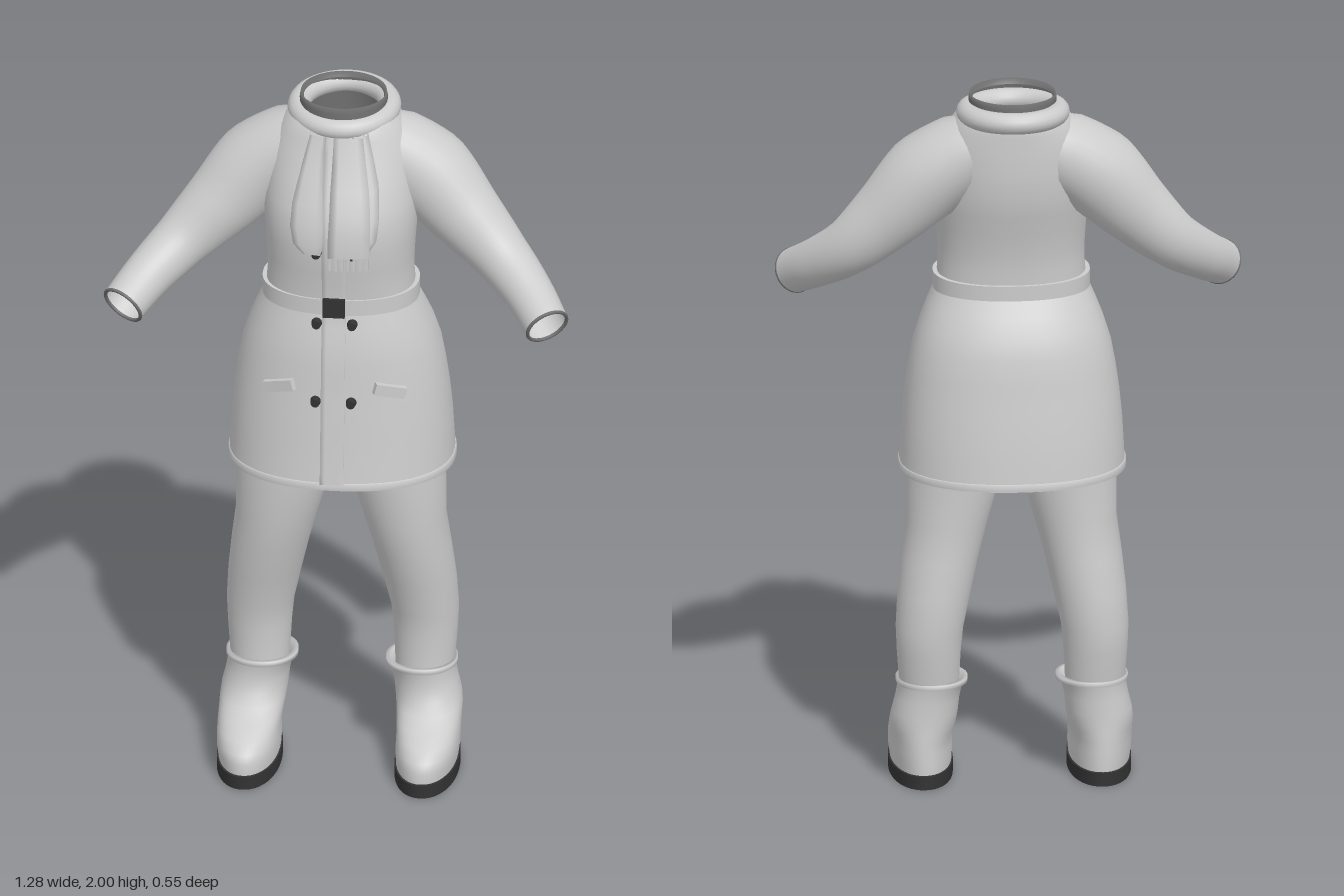
import * as THREE from 'three';

const mat = (name, color) => new THREE.MeshStandardMaterial({ name, color, side: THREE.DoubleSide });

// Half width, front z and back z of the coat at heights from hem to neck
const SKIRT = [
  [0.91, 0.31, 0.23, -0.27], [0.98, 0.307, 0.222, -0.263], [1.05, 0.303, 0.215, -0.255], [1.13, 0.295, 0.208, -0.243],
  [1.2, 0.285, 0.2, -0.232], [1.27, 0.272, 0.196, -0.223], [1.33, 0.253, 0.188, -0.203], [1.38, 0.233, 0.177, -0.175],
  [1.43, 0.211, 0.166, -0.145]];
const BODICE = [
  [1.43, 0.207, 0.165, -0.138], [1.5, 0.201, 0.17, -0.14], [1.55, 0.202, 0.178, -0.146], [1.61, 0.206, 0.185, -0.157],
  [1.67, 0.211, 0.186, -0.173], [1.73, 0.212, 0.172, -0.186], [1.8, 0.206, 0.14, -0.19], [1.86, 0.196, 0.112, -0.188],
  [1.91, 0.174, 0.095, -0.187], [1.945, 0.148, 0.085, -0.185], [1.96, 0.125, 0.06, -0.175]];
const COAT = [...SKIRT, ...BODICE.slice(1)];
const POWER = 2.25;

function coatAt(y) {
  let i = 0;
  while (i < COAT.length - 2 && COAT[i + 1][0] < y) i++;
  const a = COAT[i], b = COAT[i + 1], t = (y - a[0]) / (b[0] - a[0]);
  return a.map((v, k) => v + (b[k] - v) * t);
}

// Depth of the coat's front surface
function frontZ(x, y) {
  const [, w, zf, zb] = coatAt(y);
  const k = Math.pow(Math.max(0, 1 - Math.pow(Math.abs(x) / w, POWER)), 1 / POWER);
  return (zf + zb) / 2 + k * (zf - zb) / 2;
}

// Closed rounded rings [y, centreX, halfWidth, frontZ, backZ] joined from bottom to top
function loft(rings, power = 2, n = 48) {
  const pos = [], idx = [];
  const round = v => Math.sign(v) * Math.pow(Math.abs(v), 2 / power);
  rings.forEach(([y, cx, w, zf, zb], j) => {
    for (let i = 0; i < n; i++) {
      const a = i / n * Math.PI * 2;
      pos.push(cx + w * round(Math.cos(a)), y, (zf + zb) / 2 + (zf - zb) / 2 * round(Math.sin(a)));
      if (j === rings.length - 1) continue;
      const p = j * n + i, q = j * n + (i + 1) % n;
      idx.push(p, p + n, q, q, p + n, q + n);
    }
  });
  return build(pos, idx);
}

// Raised cloth strip lying on the coat front; rows are [y, xStart, xEnd], rising
function strip(rows, offset) {
  const pos = [], idx = [], cols = 8;
  rows.forEach(([y, x0, x1], j) => {
    for (let i = 0; i < cols; i++) {
      const x = x0 + (x1 - x0) * THREE.MathUtils.clamp((i - 1) / (cols - 3), 0, 1);
      const edge = i === 0 || i === cols - 1;
      pos.push(x, y, frontZ(x, y) + (edge ? -0.004 : offset));
      if (j === rows.length - 1 || i === cols - 1) continue;
      const p = j * cols + i;
      idx.push(p, p + 1, p + cols, p + 1, p + cols + 1, p + cols);
    }
  });
  return build(pos, idx);
}

function build(pos, idx) {
  const g = new THREE.BufferGeometry();
  g.setAttribute('position', new THREE.Float32BufferAttribute(pos, 3));
  g.setIndex(idx);
  g.computeVertexNormals();
  return g;
}

// Tube whose radius changes evenly between the path's points
function taperedTube(points, radii) {
  const curve = new THREE.CatmullRomCurve3(points.map(p => new THREE.Vector3(...p)));
  const steps = 30, sides = 28;
  const g = new THREE.TubeGeometry(curve, steps, 1, sides);
  const pos = g.attributes.position, v = new THREE.Vector3();
  for (let i = 0; i <= steps; i++) {
    const p = curve.getPointAt(i / steps);
    const t = curve.getUtoTmapping(i / steps) * (radii.length - 1);
    const k = Math.min(Math.floor(t), radii.length - 2);
    const r = THREE.MathUtils.lerp(radii[k], radii[k + 1], t - k);
    for (let s = 0; s <= sides; s++) {
      const id = i * (sides + 1) + s;
      v.fromBufferAttribute(pos, id).sub(p).multiplyScalar(r).add(p);
      pos.setXYZ(id, v.x, v.y, v.z);
    }
  }
  return { g, curve };
}

export function createModel() {
  const cloth = mat('pale grey cloth', 0xcccccc);
  const dark = mat('dark sole and buttons', 0x333333);
  const lining = mat('grey lining', 0x707070);
  const root = new THREE.Group();
  root.name = 'coatAndBoots';
  const add = (name, geo, m = cloth, parent = root) => {
    const mesh = new THREE.Mesh(geo, m);
    mesh.name = name;
    parent.add(mesh);
    return mesh;
  };
  const ringOf = ([y, w, zf, zb], grow = 0) => [y, 0, w + grow, zf + grow, zb - grow];

  // Coat
  add('skirt', loft(SKIRT.map(r => ringOf(r)), POWER, 64));
  add('bodice', loft(BODICE.map(r => ringOf(r)), POWER, 64));
  add('hem', loft([[0.912, 0], [0.912, 0.004], [0.93, 0.004], [0.932, 0]].map(([y, g]) => ringOf(coatAt(y), g)), POWER, 64));
  const waist = [1.44, 0.212, 0.168, -0.145];
  add('belt', loft([[1.42, -0.01], [1.42, 0.004], [1.42, 0.004], [1.466, 0.004], [1.466, 0.004], [1.466, -0.01]]
    .map(([y, g]) => ringOf([y, ...waist.slice(1)], g)), POWER, 64));

  // Front placket, buckle and buttons
  const rows = [];
  for (let i = 0; i <= 24; i++) rows.push([0.93 + i * 0.0415, -0.035, 0.03]);
  add('placket', strip(rows, 0.009));
  add('buckle', new THREE.BoxGeometry(0.06, 0.056, 0.02), dark).position.set(-0.002, 1.447, 0.177);
  for (const y of [1.17, 1.395, 1.615, 1.84]) for (const x of [-0.05, 0.048]) {
    const b = add('button', new THREE.CylinderGeometry(0.012, 0.015, 0.02, 14), dark);
    b.rotation.x = Math.PI / 2;
    b.position.set(x, y, frontZ(x, y) + 0.008);
  }

  // Scarf tails with a fringe
  add('scarfRightTail', strip([[1.625, -0.085, -0.035], [1.65, -0.112, -0.03], [1.7, -0.122, -0.03], [1.76, -0.118, -0.033],
    [1.84, -0.1, -0.035], [1.9, -0.085, -0.035], [1.94, -0.075, -0.03]], 0.036));
  add('scarfOuterFold', strip([[1.63, 0.05, 0.095], [1.66, 0.05, 0.115], [1.72, 0.05, 0.12], [1.8, 0.05, 0.115],
    [1.87, 0.045, 0.098], [1.94, 0.04, 0.08]], 0.028));
  add('scarfLeftTail', strip([[1.62, -0.015, 0.098], [1.68, -0.014, 0.1], [1.74, -0.012, 0.098], [1.8, -0.012, 0.092],
    [1.87, -0.01, 0.08], [1.94, -0.008, 0.07]], 0.04));
  for (let i = 0; i < 7; i++) {
    const x = -0.008 + i * 0.0165;
    add('fringe', new THREE.BoxGeometry(0.009, 0.045, 0.008)).position.set(x, 1.603, frontZ(x, 1.62) + 0.032);
  }

  // Rolled collar and neck lining
  const roll = new THREE.TorusGeometry(0.125, 0.031, 16, 48).rotateX(Math.PI / 2).scale(1, 0.95, 1.06);
  const collar = add('collar', roll);
  collar.position.set(0, 1.948, -0.067);
  collar.rotation.x = 0.06;
  add('neckLining', loft([[1.88, 0, 0.135, 0.07, -0.175], [1.93, 0, 0.12, 0.068, -0.175], [1.985, 0, 0.121, 0.07, -0.172],
    [2, 0, 0.118, 0.062, -0.17], [1.985, 0, 0.11, 0.052, -0.163]]), lining);

  for (const s of [1, -1]) {
    const side = s > 0 ? 'left' : 'right';
    // Sleeve and cuff
    const { g, curve } = taperedTube([[0.07 * s, 1.85, -0.06], [0.135 * s, 1.825, -0.06], [0.235 * s, 1.76, -0.055],
      [0.335 * s, 1.652, -0.035], [0.44 * s, 1.545, 0.002], [0.525 * s, 1.472, 0.08], [0.585 * s, 1.418, 0.168]],
    [0.08, 0.115, 0.124, 0.102, 0.079, 0.068, 0.062]);
    add(side + 'Sleeve', g);
    const cuff = add(side + 'CuffEdge', new THREE.TorusGeometry(0.059, 0.005, 8, 32), lining);
    const end = curve.getPoint(1);
    cuff.position.copy(end);
    cuff.lookAt(end.clone().add(curve.getTangent(1)));

    // Pocket welt
    const px = 0.152 * s, slope = Math.atan2(frontZ(0.19, 1.2) - frontZ(0.11, 1.2), 0.08);
    const pocket = add(side + 'Pocket', new THREE.BoxGeometry(0.09, 0.032, 0.022));
    pocket.position.set(px, 1.202, frontZ(px, 1.2) + 0.004);
    pocket.rotation.set(0, -slope * s, -0.27 * s, 'YXZ');

    // Leg
    add(side + 'Leg', loft([[0.24, 0.228, 0.08, 0.06, -0.1], [0.3, 0.228, 0.083, 0.058, -0.11], [0.38, 0.229, 0.088, 0.058, -0.122],
      [0.45, 0.227, 0.093, 0.066, -0.13], [0.55, 0.213, 0.101, 0.09, -0.128], [0.65, 0.196, 0.107, 0.115, -0.117],
      [0.75, 0.176, 0.114, 0.132, -0.11], [0.9, 0.155, 0.134, 0.15, -0.115], [1.05, 0.14, 0.13, 0.15, -0.12]]
      .map(([y, x, ...r]) => [y, x * s, ...r])));

    // Boot with a turned rim
    add(side + 'Boot', loft([[0.04, 0.245, 0.084, 0.268, -0.115], [0.07, 0.246, 0.087, 0.268, -0.115],
      [0.095, 0.247, 0.087, 0.258, -0.113], [0.12, 0.247, 0.087, 0.225, -0.112], [0.145, 0.245, 0.089, 0.17, -0.11],
      [0.17, 0.243, 0.091, 0.118, -0.108], [0.2, 0.239, 0.091, 0.09, -0.107], [0.24, 0.232, 0.088, 0.082, -0.106],
      [0.28, 0.224, 0.089, 0.08, -0.108], [0.285, 0.22, 0.099, 0.087, -0.112], [0.298, 0.22, 0.099, 0.087, -0.112],
      [0.3, 0.222, 0.088, 0.076, -0.104], [0.27, 0.226, 0.08, 0.06, -0.1]]
      .map(([y, x, ...r]) => [y, x * s, ...r]), 2.1));
    const full = [0.245 * s, 0.088, 0.273, -0.12], dot = [0.245 * s, 0.001, 0.08, 0.078];
    add(side + 'Sole', loft([[0, ...dot], [0, ...full], [0, ...full], [0.038, ...full], [0.038, ...full], [0.038, ...dot]], 2.1), dark);
  }
  return root;
}
